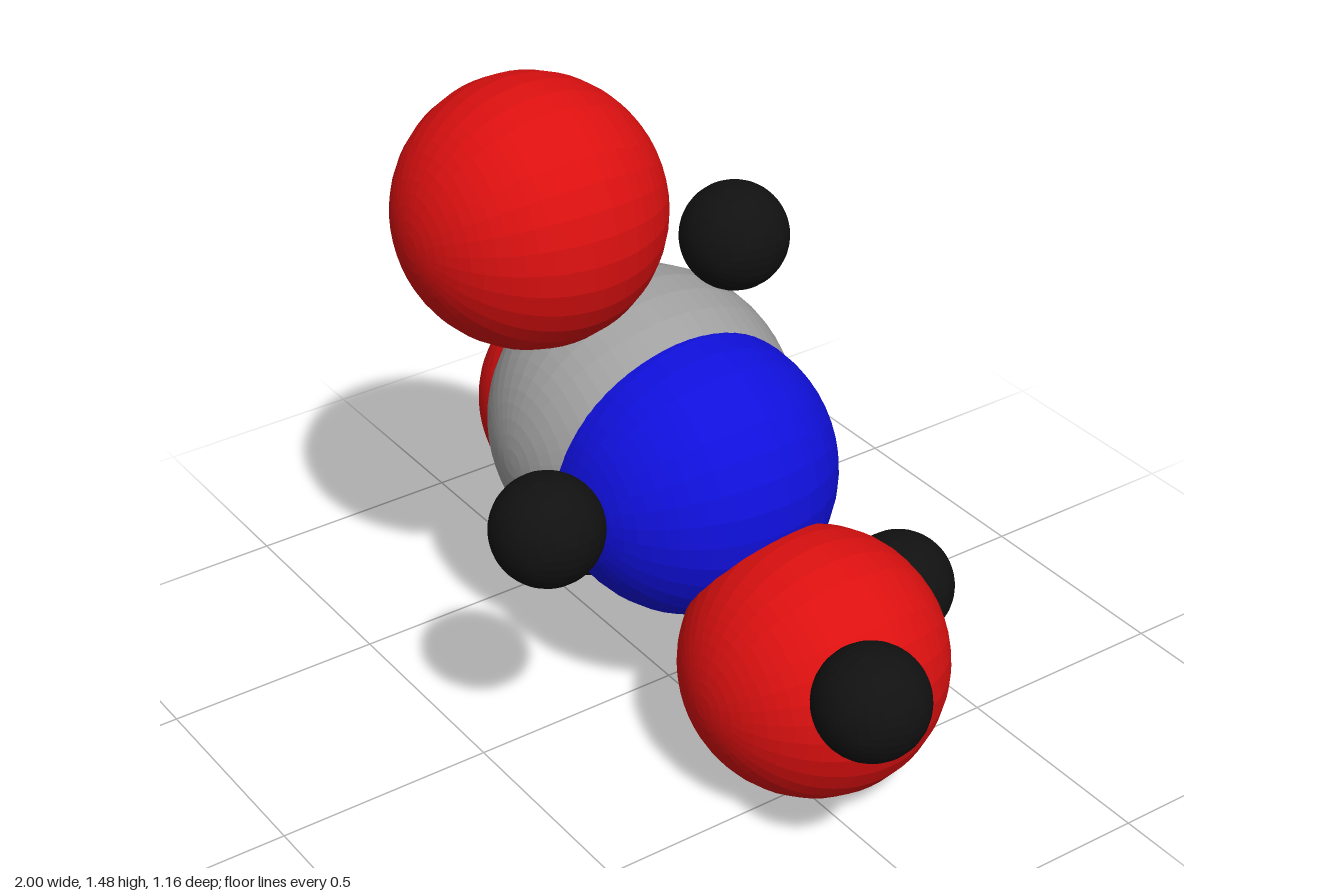
import * as THREE from 'three';

export function createModel() {
  const model = new THREE.Group();
  model.name = 'moleculeCluster';

  const material = (color) => new THREE.MeshStandardMaterial({ color, flatShading: true });
  const red = material(0xdc1010);
  const blue = material(0x1010dc);
  const grey = material(0xa0a0a0);
  const black = material(0x111111);

  // Each kind of atom shares one sphere, with its poles along z
  const sphere = (radius) => new THREE.SphereGeometry(radius, 32, 32).rotateX(Math.PI / 2);

  function addAtoms(kind, radius, mat, atoms) {
    const geometry = sphere(radius);
    for (const [place, x, y, z] of atoms) {
      const atom = new THREE.Mesh(geometry, mat);
      atom.name = place + kind;
      atom.position.set(x, y, z);
      model.add(atom);
    }
  }

  // Two large overlapping core atoms
  addAtoms('GreyAtom', 0.345, grey, [['core', -0.145, 0.615, -0.03]]);
  addAtoms('BlueAtom', 0.32, blue, [['core', 0.055, 0.585, -0.024]]);

  // Three red atoms around the core
  addAtoms('RedAtom', 0.294, red, [
    ['top', -0.195, 1.185, 0.22],
    ['right', -0.706, 0.307, -0.285],
    ['left', 0.461, 0.297, -0.056],
  ]);

  // Small black atoms: four in a tetrahedron about the blue core, one on the left red atom
  addAtoms('BlackAtom', 0.122, black, [
    ['front', 0.216, 0.695, 0.456],
    ['upper', -0.11, 1.02, -0.252],
    ['back', 0.445, 0.388, -0.297],
    ['lower', -0.33, 0.243, -0.002],
    ['outer', 0.876, 0.518, 0.125],
  ]);

  return model;
}
